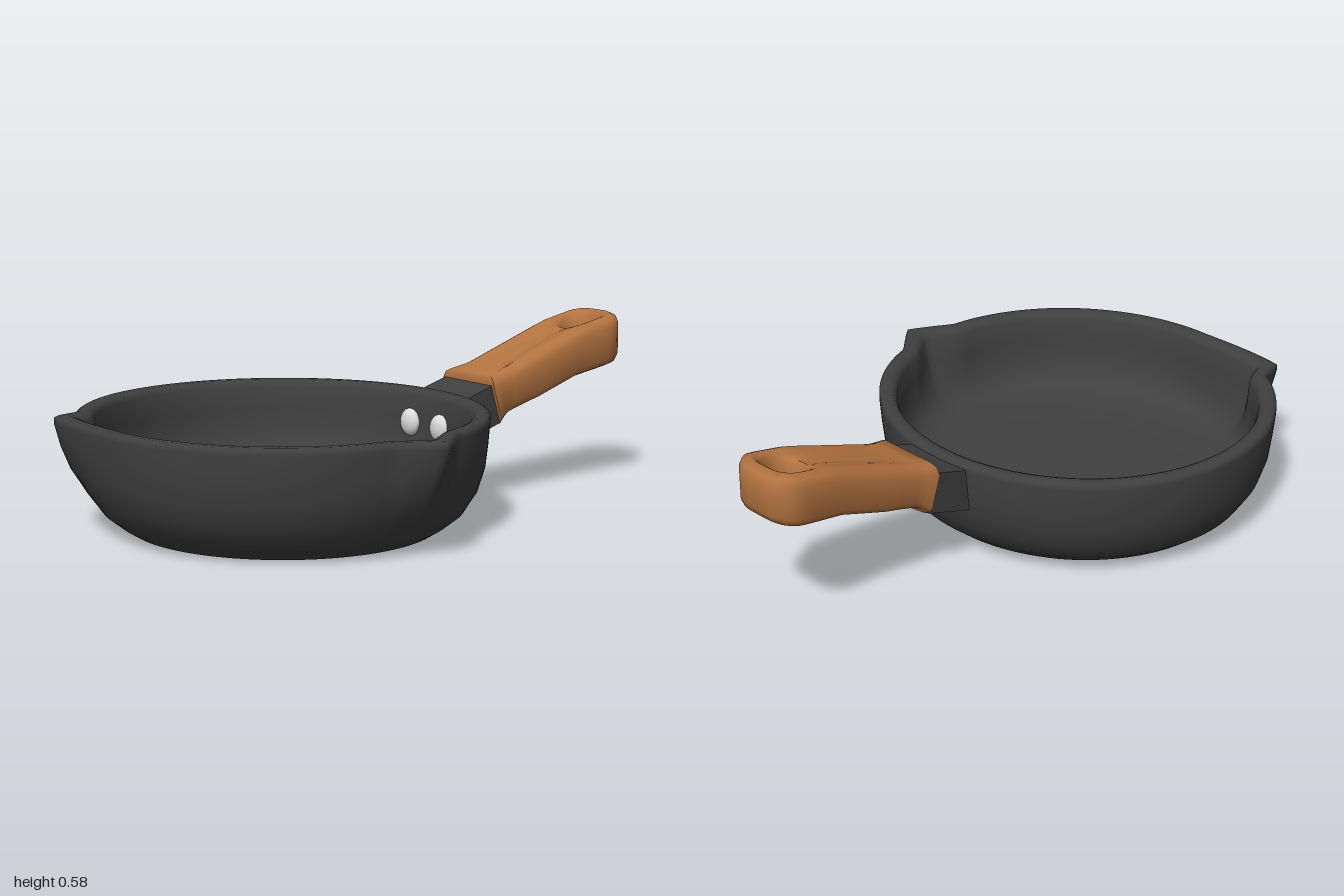
import * as THREE from 'three';
import { toCreasedNormals } from 'three/addons/utils/BufferGeometryUtils.js';

const CX = -0.036, CZ = 0.36; // pan centre

// Skin a list of closed rings; wrap joins the last ring to the first
function loft(rings, wrap, crease) {
  const n = rings[0].length, pos = [], idx = [];
  rings.forEach(r => r.forEach(p => pos.push(...p)));
  const last = wrap ? rings.length : rings.length - 1;
  for (let v = 0; v < last; v++) {
    for (let u = 0; u < n; u++) {
      const w = (v + 1) % rings.length, k = (u + 1) % n;
      const a = v * n + u, b = v * n + k, c = w * n + u, d = w * n + k;
      idx.push(a, c, b, b, c, d);
    }
  }
  const g = new THREE.BufferGeometry();
  g.setAttribute('position', new THREE.Float32BufferAttribute(pos, 3));
  g.setIndex(idx);
  return toCreasedNormals(g, crease);
}

// Piecewise linear curve through [x, y] pairs with x falling
function curve(pts, x) {
  if (x >= pts[0][0]) return pts[0][1];
  for (let i = 1; i < pts.length; i++) {
    const [x0, y0] = pts[i - 1], [x1, y1] = pts[i];
    if (x >= x1) return y0 + (y1 - y0) * (x - x0) / (x1 - x0);
  }
  return pts[pts.length - 1][1];
}

// Extra rim radius at the two pouring spouts
function spout(deg) {
  const side = deg > 180 ? deg - 360 : deg;
  if (side > -18 && side < 6) {
    const t = side < -6 ? (side + 18) / 12 : (6 - side) / 12;
    return 0.08 * Math.pow(t, 1.2);
  }
  if (deg > 92 && deg <= 118) return 0.066 * Math.pow((deg - 92) / 26, 1.5);
  if (deg > 118 && deg < 123) return 0.066 * (123 - deg) / 5;
  return 0;
}

function panGeometry() {
  // [radius scale, height, spout strength]
  const profile = [
    [0, 0.004, 0], [0.4, 0.004, 0], [0.755, 0.004, 0], [0.81, 0.026, 0], [0.88, 0.062, 0.03],
    [0.945, 0.128, 0.15], [0.98, 0.2, 0.5], [0.993, 0.27, 0.8], [1.003, 0.345, 1], [1.002, 0.362, 1],
    [0.985, 0.369, 0.95], [0.95, 0.369, 0.85], [0.925, 0.362, 0.75], [0.912, 0.345, 0.7], [0.907, 0.27, 0.55],
    [0.9, 0.2, 0.3], [0.875, 0.148, 0.1], [0.83, 0.116, 0], [0.76, 0.1, 0], [0.5, 0.093, 0], [0, 0.09, 0],
  ];
  const N = 180;
  return loft(profile.map(([s, y, k]) => Array.from({ length: N }, (_, i) => {
    const a = i / N * Math.PI * 2, b = spout(i / N * 360) * k;
    return [CX + Math.cos(a) * (0.665 * s + b), y, CZ + Math.sin(a) * (0.64 * s + b)];
  })), false, 1.3);
}

// Plan outline of the grip, inset by d
function gripOutline(d) {
  const pts = [], hw = z => 0.127 + 0.008 * Math.max(0, 1 - (-0.39 - z) / 0.06) - d;
  for (let i = 0; i <= 4; i++) pts.push([hw(-0.39) * (1 - i / 2), -0.39 - d * 0.25]);
  const side = [-0.425, -0.45, -0.48, -0.54, -0.6, -0.66, -0.72, -0.77, -0.81, -0.845, -0.88];
  side.forEach(z => pts.push([-hw(z), z]));
  const r = 0.09 - d;
  const arc = Array.from({ length: 7 }, (_, i) => {
    const a = i / 6 * Math.PI / 2;
    return [-0.037 - Math.cos(a) * r, -0.91 - Math.sin(a) * r];
  });
  pts.push(...arc, [0, -1 + d]);
  arc.reverse().forEach(([x, z]) => pts.push([-x, z]));
  side.slice().reverse().forEach(z => pts.push([hw(z), z]));
  return pts;
}

function gripGeometry() {
  const top = [[-0.385, 0.417], [-0.47, 0.435], [-0.62, 0.488], [-0.8, 0.552], [-0.97, 0.588], [-1, 0.582]];
  const bottom = [[-0.39, 0.248], [-0.44, 0.28], [-0.6, 0.322], [-0.77, 0.38], [-0.96, 0.412], [-1, 0.425]];
  const HZ = -0.882, rings = [];
  // One ring: outline inset d, blended by f to a circle of radius r round the hole, sunk by depth
  const ring = (d, isTop, depth, f = 0, r = 0.072) => rings.push(gripOutline(d).map(([x, z]) => {
    const l = Math.hypot(x, z - HZ);
    const px = x + (x / l * r - x) * f;
    const pz = z + (HZ + (z - HZ) / l * r - z) * f;
    const y = isTop ? curve(top, pz) - depth : curve(bottom, pz) + depth;
    const slant = isTop ? 0 : 0.032 * Math.max(0, Math.min(1, (pz + 0.5) / 0.11));
    return [CX + 0.002 + px, y, pz - slant];
  }));
  const steps = [0.12, 0.25, 0.38, 0.5, 0.62, 0.75, 0.88];
  ring(0, false, 0.03);
  ring(0, true, 0.035);
  ring(0.01, true, 0.011);
  ring(0.034, true, 0);
  steps.forEach(f => ring(0.034, true, 0.016 * f * f, f));
  ring(0.034, true, 0.02, 1);
  ring(0.034, true, 0.045, 1, 0.058);
  ring(0.034, false, 0.03, 1, 0.057);
  ring(0.034, false, 0, 1, 0.068);
  steps.slice().reverse().forEach(f => ring(0.034, false, 0, f, 0.068));
  ring(0.034, false, 0);
  ring(0.01, false, 0.01);
  return loft(rings, true, 1);
}

// Sloping metal neck between pan and grip
function neckGeometry() {
  const s = new THREE.Shape([[0.25, 0.202], [0.43, 0.261], [0.41, 0.394], [0.25, 0.344]]
    .map(p => new THREE.Vector2(...p)));
  const g = new THREE.ExtrudeGeometry(s, { depth: 0.248, bevelEnabled: false });
  return g.rotateY(Math.PI / 2).translate(CX - 0.124, 0, 0);
}

export function createModel() {
  const iron = new THREE.MeshStandardMaterial({ color: 0x404040 });
  const wood = new THREE.MeshStandardMaterial({ color: 0xb37340 });
  const steel = new THREE.MeshStandardMaterial({ color: 0xdcdcdc });
  iron.name = 'darkIron';
  wood.name = 'wood';
  steel.name = 'steel';

  const model = new THREE.Group();
  model.name = 'fryingPan';
  const add = (name, geometry, material) => {
    const m = new THREE.Mesh(geometry, material);
    m.name = name;
    model.add(m);
    return m;
  };
  add('panBody', panGeometry(), iron);
  add('handleNeck', neckGeometry(), iron);
  add('handleGrip', gripGeometry(), wood);

  // Rivets on the inner wall
  for (const s of [-1, 1]) {
    const rivet = add(s < 0 ? 'rightRivet' : 'leftRivet', new THREE.SphereGeometry(0.042, 16, 12), steel);
    rivet.scale.set(1.05, 1.1, 0.6);
    rivet.position.set(CX - 0.006 + s * 0.079, 0.257, -0.212);
  }
  return model;
}
